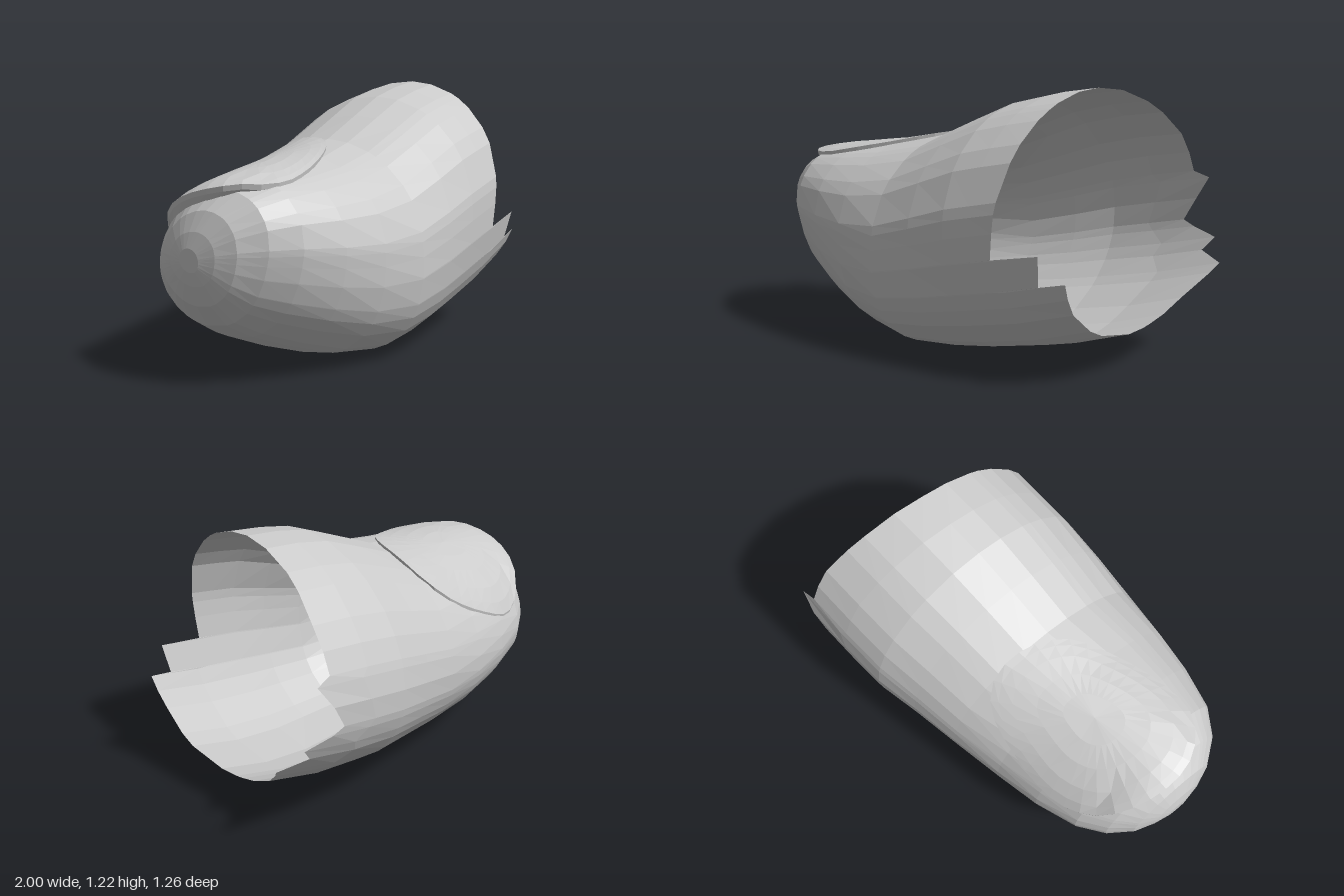
import * as THREE from 'three';

// Cross-sections along the finger: x, bottom y, top y, back z, front z, sideways lean of the top
const SECTIONS = [
  [-1.0, 0.5, 0.6, 0.04, 0.15, 0],
  [-0.985, 0.44, 0.67, -0.03, 0.23, 0.02],
  [-0.95, 0.35, 0.755, -0.12, 0.32, 0.05],
  [-0.87, 0.25, 0.835, -0.22, 0.42, 0.09],
  [-0.75, 0.18, 0.88, -0.305, 0.5, 0.1],
  [-0.55, 0.1, 0.905, -0.375, 0.56, 0.08],
  [-0.33, 0.03, 0.932, -0.425, 0.6, 0.05],
  [-0.08, 0.0, 0.98, -0.485, 0.62, 0.01],
  [0.15, 0.012, 1.075, -0.54, 0.615, 0.02],
  [0.35, 0.035, 1.155, -0.595, 0.6, 0.035],
  [0.6, 0.08, 1.21, -0.625, 0.57, 0.04],
  [0.8, 0.14, 1.225, -0.64, 0.545, 0.04],
  [1.0, 0.21, 1.23, -0.64, 0.51, 0.04],
];

// Torn open end: angle in degrees (0 = front, 90 = top) and the x it reaches
const TEAR = [
  [-11, 0.59], [8, 0.61], [30, 0.645], [60, 0.68], [90, 0.7], [120, 0.74], [145, 0.785],
  [166, 0.79], [170, 0.865], [180, 0.79], [190, 0.73], [194, 0.79], [201, 0.92], [207, 0.87],
  [216, 1.0], [235, 0.91], [255, 0.89], [270, 0.89], [290, 0.9], [315, 0.9],
  [333.4, 0.92], [334, 0.8], [348.4, 0.82],
];

// Nail outline seen from above: x, z
const NAIL = [
  [-0.93, 0.05], [-0.91, 0.2], [-0.83, 0.31], [-0.73, 0.36], [-0.6, 0.35], [-0.4, 0.28],
  [-0.17, 0.14], [-0.09, 0], [-0.07, -0.1], [-0.08, -0.23], [-0.16, -0.315], [-0.4, -0.345],
  [-0.6, -0.33], [-0.78, -0.25], [-0.88, -0.14],
];

function lerpTable(table, x) {
  let i = 0;
  while (i < table.length - 2 && x > table[i + 1][0]) i++;
  const a = table[i], b = table[i + 1];
  const t = THREE.MathUtils.clamp((x - a[0]) / (b[0] - a[0]), 0, 1);
  return a.map((v, k) => v + (b[k] - v) * t);
}

function section(x) {
  const [, yb, yt, zb, zf, s] = lerpTable(SECTIONS, x);
  const half = (zf - zb) / 2;
  return { cy: (yb + yt) / 2, h: (yt - yb) / 2, cz: (zb + zf) / 2, half, s, w: Math.sqrt(half * half - s * s) };
}

// The pad below is fuller towards the front
function skinPoint(x, a) {
  const q = section(x), sin = Math.sin(a), cos = Math.cos(a);
  const pad = sin < 0 ? q.half * (0.18 * sin * sin - 0.08 * sin * Math.max(0, cos)) : 0;
  return [x, q.cy + q.h * sin, q.cz + q.w * cos + q.s * sin + pad];
}

// Height of the upper skin at a place seen from above
function skinTop(x, z) {
  const q = section(x);
  const c = THREE.MathUtils.clamp((z - q.cz) / q.half, -1, 1);
  return q.cy + q.h * Math.sin(Math.atan2(q.s, q.w) + Math.acos(c));
}

// Joins closed rows of points into a surface
function loft(rows) {
  const n = rows[0].length, index = [];
  for (let r = 0; r < rows.length - 1; r++) {
    for (let i = 0; i < n; i++) {
      const j = (i + 1) % n;
      const a = r * n + i, b = r * n + j, c = a + n, d = b + n;
      index.push(a, c, b, b, c, d);
    }
  }
  const g = new THREE.BufferGeometry();
  g.setAttribute('position', new THREE.Float32BufferAttribute(rows.flat(2), 3));
  g.setIndex(index);
  g.computeVertexNormals();
  return g;
}

function createSkin() {
  // Even columns plus the corners of the tear
  const angles = TEAR.map((t) => t[0]);
  for (let a = 0; a < 345; a += 13) {
    if (angles.every((b) => Math.abs(a - b) > 4)) angles.push(a);
  }
  angles.sort((a, b) => a - b);
  const columns = angles.map((deg) => ({ a: THREE.MathUtils.degToRad(deg), end: lerpTable(TEAR, deg)[1] }));

  const rows = [columns.map(() => [-1, 0.55, 0.1])];
  for (const [x] of SECTIONS.slice(0, 10)) rows.push(columns.map((c) => skinPoint(x, c.a)));
  for (const t of [0.5, 1]) {
    rows.push(columns.map((c) => skinPoint(0.35 + (c.end - 0.35) * t, c.a)));
  }
  return loft(rows);
}

function createNail() {
  const curve = new THREE.CatmullRomCurve3(NAIL.map(([x, z]) => new THREE.Vector3(x, 0, z)), true);
  const outline = curve.getSpacedPoints(32).slice(0, 32);
  const cx = -0.5, cz = 0;
  // The plate dips gently over the fingertip and stands proud at its free edge
  const plateY = (x, z) => {
    const past = Math.min(0, x + 0.78);
    return skinTop(Math.max(x, -0.78), z) - 2 * past * past + 0.012 - 0.008 * x;
  };
  const ring = (r, height) => outline.map((p) => {
    const x = cx + (p.x - cx) * r, z = cz + (p.z - cz) * r;
    return [x, height(x, z), z];
  });
  const rows = [0, 0.3, 0.55, 0.78, 0.92, 1].map((r) => ring(r, plateY));
  // Thin rim, then tucked in under the free edge
  rows.push(ring(0.99, (x, z) => Math.max(plateY(x, z) - 0.025, skinTop(x, z) - 0.01)));
  rows.push(ring(0.95, (x, z) => skinTop(x, z) - 0.01));
  return loft(rows);
}

export function createModel() {
  const material = new THREE.MeshStandardMaterial({ color: 0xcccccc, flatShading: true, side: THREE.DoubleSide });
  const group = new THREE.Group();
  group.name = 'fingertip';
  const add = (name, geometry) => {
    const mesh = new THREE.Mesh(geometry, material);
    mesh.name = name;
    group.add(mesh);
  };
  add('skin', createSkin());
  add('nail', createNail());
  return group;
}
